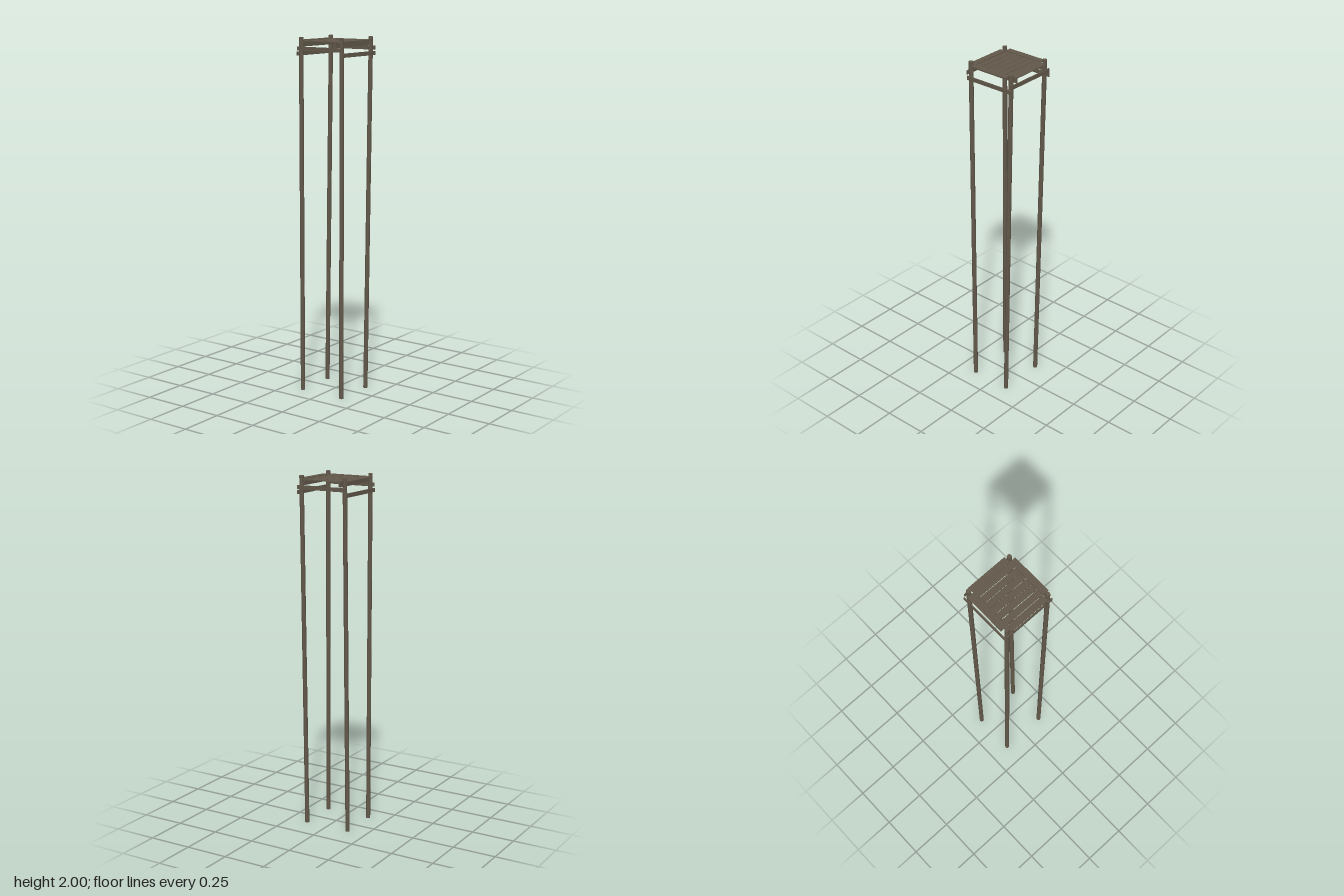
import * as THREE from 'three';

export function createModel() {
  const model = new THREE.Group();
  model.name = 'tallWoodenPlatform';
  const wood = new THREE.MeshStandardMaterial({ color: 0x62584a, flatShading: true });
  wood.name = 'weatheredWood';

  const board = (name, size, pos, yaw = 0, roll = 0) => {
    const mesh = new THREE.Mesh(new THREE.BoxGeometry(...size), wood);
    mesh.name = name;
    mesh.position.set(...pos);
    mesh.rotation.set(0, yaw, roll);
    model.add(mesh);
  };

  // Round pole between two points, ends kept level
  const pole = (name, x, zBottom, zTop, height) => {
    const geo = new THREE.CylinderGeometry(0.0125, 0.0125, height, 8);
    const p = geo.attributes.position;
    for (let i = 0; i < p.count; i++) {
      const t = p.getY(i) / height + 0.5;
      p.setXYZ(i, p.getX(i) + x, t * height, p.getZ(i) + THREE.MathUtils.lerp(zBottom, zTop, t));
    }
    geo.computeVertexNormals();
    const mesh = new THREE.Mesh(geo, wood);
    mesh.name = name;
    model.add(mesh);
  };

  // Legs: front pair upright, back pair leaning out towards the top
  for (const s of [-1, 1]) {
    const side = s > 0 ? 'Left' : 'Right';
    pole('front' + side + 'Leg', s * 0.135, 0.136, 0.136, 2);
    pole('back' + side + 'Leg', s * 0.135, -0.101, -0.138, 2);
  }

  // Rails nailed to the outside of the legs
  board('rightRail', [0.006, 0.022, 0.302], [-0.154, 1.91, -0.003]);
  board('leftRail', [0.006, 0.022, 0.302], [0.151, 1.91, -0.003]);
  board('frontRail', [0.302, 0.022, 0.006], [0.001, 1.938, 0.151]);
  board('backRail', [0.302, 0.022, 0.006], [0.001, 1.938, -0.154]);

  // Joists on edge, resting on the front and back rails
  for (const s of [-1, 1]) board(s > 0 ? 'leftJoist' : 'rightJoist', [0.006, 0.025, 0.312], [s * 0.109, 1.963, 0]);

  // Deck slats, each slightly crooked
  const slats = [-0.102, -0.0615, -0.0225, 0.0165, 0.0555, 0.096];
  const yaws = [-0.008, -0.01, -0.003, -0.012, -0.009, -0.004];
  slats.forEach((z, i) => board('deckSlat' + (i + 1), [0.25, 0.005, 0.0365], [0, 1.978, z], yaws[i], (i % 3 - 1) * 0.006));

  // Border boards around the deck
  board('frontBorder', [0.24, 0.005, 0.037], [0, 1.98, 0.1365], -0.002);
  board('backBorder', [0.24, 0.005, 0.037], [0, 1.98, -0.139], 0.002);
  board('rightBorder', [0.038, 0.005, 0.24], [-0.139, 1.982, -0.001], 0.002);
  board('leftBorder', [0.036, 0.005, 0.24], [0.139, 1.982, 0], -0.003);

  return model;
}
